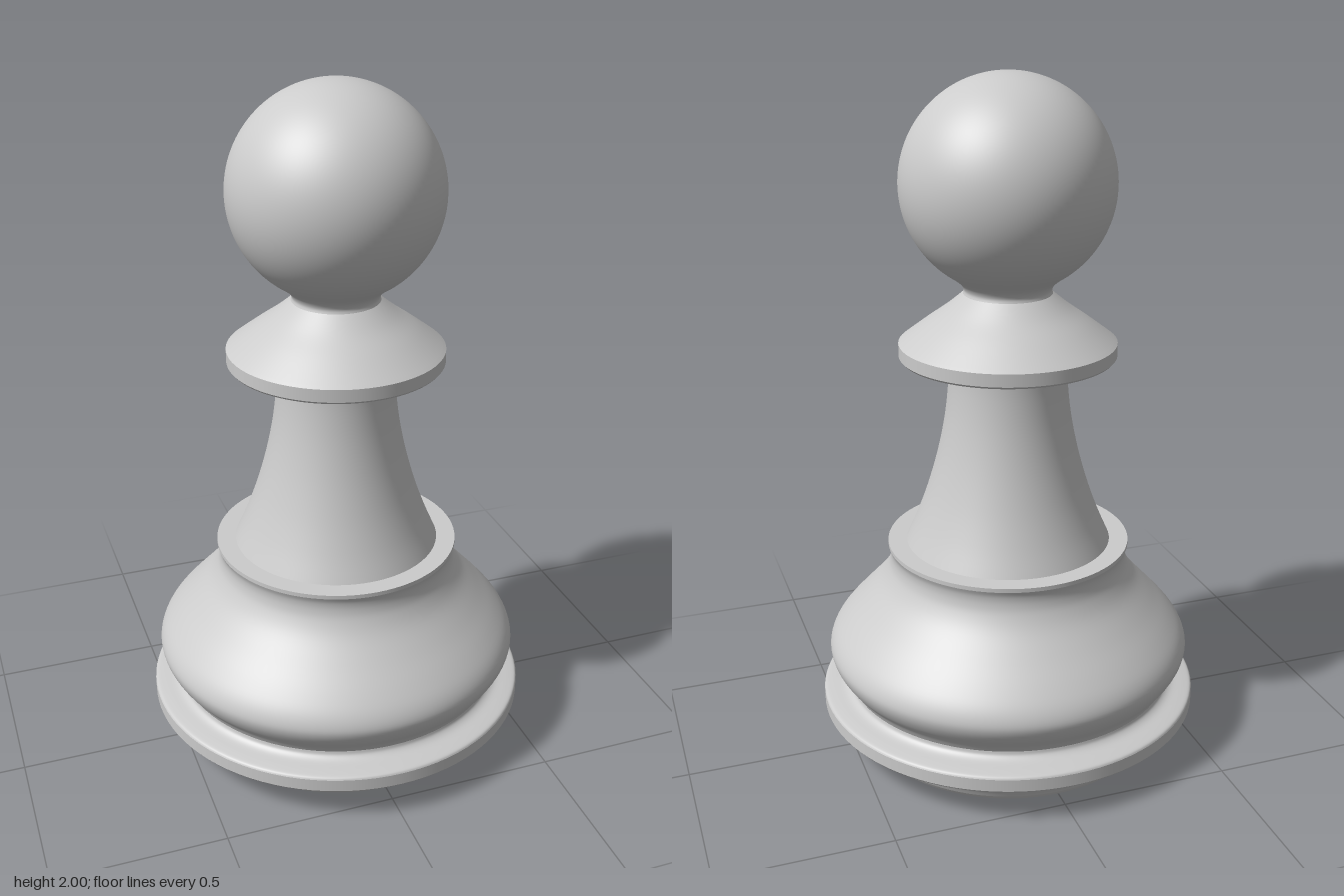
import * as THREE from 'three';
import { mergeGeometries } from 'three/addons/utils/BufferGeometryUtils.js';

const SIDES = 96;
const material = new THREE.MeshStandardMaterial({ color: 0xcccccc });
const vectors = (pts) => pts.map(([r, y]) => new THREE.Vector2(r, y));

// Straight run of the profile, one crisp band per pair of points
function bands(pts) {
  const v = vectors(pts);
  return v.slice(1).map((p, i) => new THREE.LatheGeometry([v[i], p], SIDES));
}

// Smooth run of the profile, splined through the points
function curve(pts, steps = pts.length * 4) {
  return [new THREE.LatheGeometry(new THREE.SplineCurve(vectors(pts)).getPoints(steps), SIDES)];
}

function part(name, ...runs) {
  const mesh = new THREE.Mesh(mergeGeometries(runs.flat()), material);
  mesh.name = name;
  return mesh;
}

export function createModel() {
  const pawn = new THREE.Group();
  pawn.name = 'pawn';

  // Foot: flat underside, flared cove and a rounded rim
  pawn.add(part('foot',
    bands([[0, 0], [0.445, 0], [0.453, 0.012]]),
    curve([[0.453, 0.012], [0.467, 0.04], [0.496, 0.073], [0.535, 0.094], [0.568, 0.108]]),
    bands([[0.568, 0.108], [0.572, 0.113], [0.572, 0.15]]),
    curve([[0.572, 0.15], [0.566, 0.157], [0.545, 0.162], [0.513, 0.168], [0.497, 0.178], [0.493, 0.19]]),
  ));

  // Belly: bulging body narrowing to a flared lip with a flat top
  pawn.add(part('belly',
    curve([[0.493, 0.19], [0.505, 0.212], [0.528, 0.242], [0.544, 0.275], [0.546, 0.305],
      [0.53, 0.342], [0.494, 0.387], [0.44, 0.445], [0.39, 0.502], [0.364, 0.545],
      [0.355, 0.575], [0.355, 0.6], [0.361, 0.618]]),
    bands([[0.361, 0.618], [0.361, 0.63], [0.3, 0.63]]),
  ));

  // Stem: concave taper
  pawn.add(part('stem',
    curve([[0.305, 0.63], [0.272, 0.706], [0.238, 0.8], [0.207, 0.91], [0.185, 1.02],
      [0.174, 1.12], [0.173, 1.2]]),
  ));

  // Collar: flat underside, short rim and a sloped top
  pawn.add(part('collar',
    bands([[0.165, 1.2], [0.31, 1.2], [0.315, 1.206], [0.315, 1.243], [0.306, 1.25]]),
    curve([[0.306, 1.25], [0.24, 1.3], [0.18, 1.343], [0.128, 1.386]]),
  ));

  // Head: small neck fillet flowing into the ball
  const ball = [];
  for (let i = 0; i <= 40; i++) {
    const a = THREE.MathUtils.lerp(-1.02, Math.PI / 2, i / 40);
    ball.push([i === 40 ? 0 : 0.305 * Math.cos(a), 1.695 + 0.305 * Math.sin(a)]);
  }
  pawn.add(part('head', curve([[0.128, 1.386], [0.126, 1.398], [0.136, 1.416], ...ball], 160)));

  return pawn;
}
